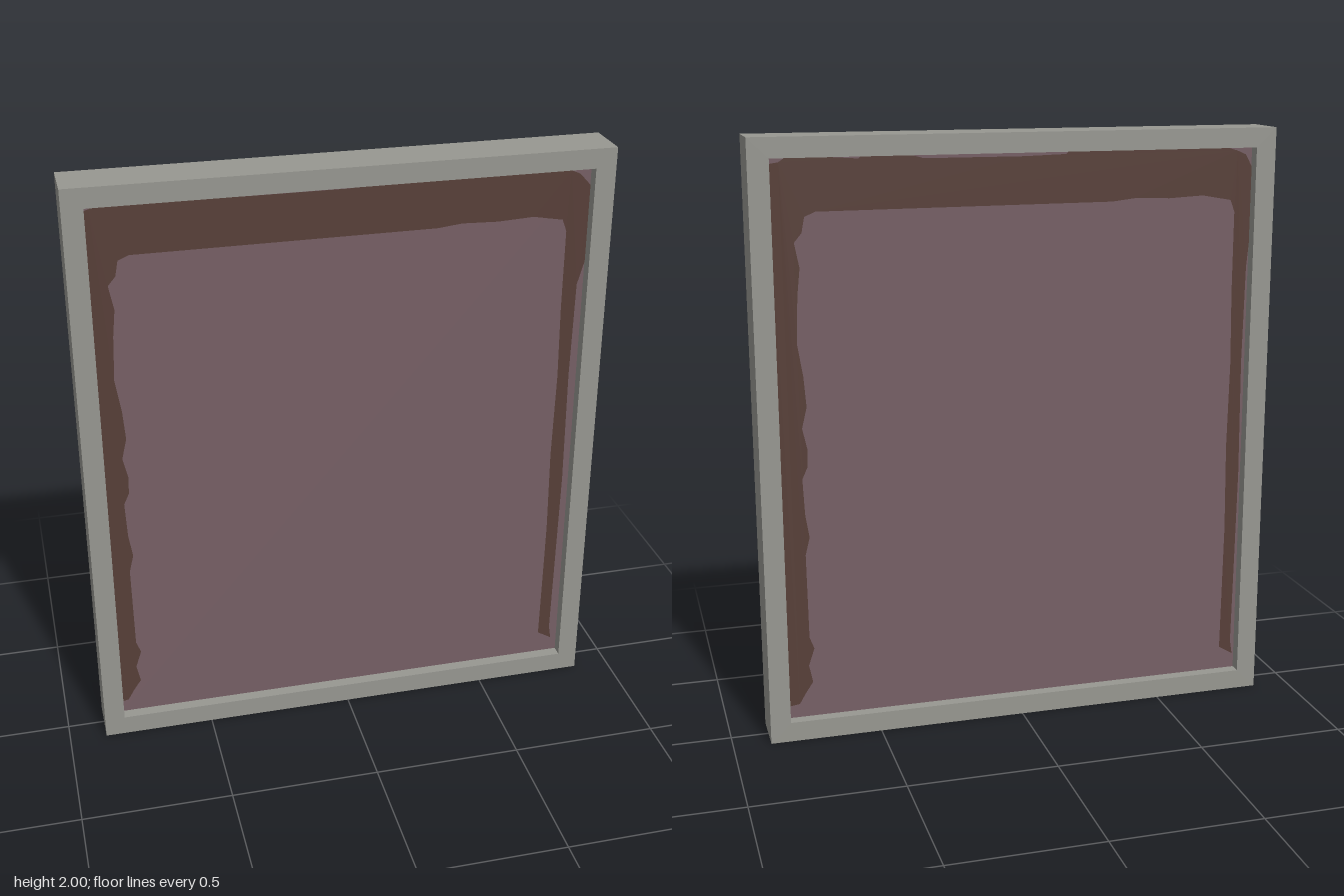
import * as THREE from 'three';

const W = 0.875, H = 2, D = 0.166;                   // frame half width, height, depth
const IN = { x: 0.807, y0: 0.067, y1: 1.935 };       // opening
const PANEL = 0.044;                                 // panel half thickness

const material = (name, color, side = THREE.FrontSide) => {
  const m = new THREE.MeshStandardMaterial({ color, side });
  m.name = name;
  return m;
};

function rectangle(Type, x, y0, y1) {
  return new Type([[-x, y0], [x, y0], [x, y1], [-x, y1]].map(p => new THREE.Vector2(...p)));
}

// Uneven border: outer edge from lower left to lower right, then the inner edge back
const BORDER = [
  [-0.81, 0.11], [-0.81, 1.915], [-0.79, 1.92], [-0.77, 1.933], [-0.64, 1.933], [-0.54, 1.926],
  [-0.53, 1.935], [-0.37, 1.933], [-0.33, 1.922], [0, 1.921], [0.14, 1.925], [0.15, 1.935],
  [0.7, 1.935], [0.74, 1.923], [0.77, 1.91], [0.807, 1.87], [0.807, 1.61], [0.785, 1.53],
  [0.78, 1.2], [0.785, 0.8], [0.78, 0.4], [0.777, 0.17], [0.785, 0.12], [0.735, 0.15],
  [0.74, 0.6], [0.735, 0.9], [0.74, 1.2], [0.735, 1.45], [0.735, 1.72], [0.72, 1.76],
  [0.68, 1.767], [0.62, 1.778], [0.5, 1.772], [0.38, 1.776], [0.3, 1.767], [-0.68, 1.765],
  [-0.715, 1.75], [-0.725, 1.7], [-0.75, 1.67], [-0.735, 1.59], [-0.745, 1.5], [-0.752, 1.35],
  [-0.735, 1.24], [-0.728, 1.14], [-0.745, 1.07], [-0.73, 1], [-0.732, 0.94], [-0.75, 0.9],
  [-0.745, 0.78], [-0.733, 0.7], [-0.748, 0.64], [-0.745, 0.35], [-0.73, 0.31], [-0.75, 0.25],
  [-0.738, 0.19], [-0.765, 0.15], [-0.785, 0.115],
];

function borderGeometry(shift) {
  const points = BORDER.map(([x, y]) => {
    const moved = Math.abs(x) > 0.8 ? x : x + shift;
    return new THREE.Vector2(THREE.MathUtils.clamp(moved, -IN.x, IN.x), y);
  });
  return new THREE.ShapeGeometry(new THREE.Shape(points));
}

export function createModel() {
  const group = new THREE.Group();
  group.name = 'framedPanel';
  const grey = material('frame grey', 0x979791);
  const mauve = material('panel mauve', 0x765f65);
  const brown = material('border brown', 0x573f38);

  const add = (name, geometry, mat) => {
    const mesh = new THREE.Mesh(geometry, mat);
    mesh.name = name;
    group.add(mesh);
    return mesh;
  };

  // Square-edged frame around the opening
  const outline = rectangle(THREE.Shape, W, 0, H);
  outline.holes.push(rectangle(THREE.Path, IN.x, IN.y0, IN.y1));
  const frame = new THREE.ExtrudeGeometry(outline, { depth: D, bevelEnabled: false });
  add('frame', frame.translate(0, 0, -D / 2), grey);

  // Panel recessed on both sides
  const panel = new THREE.BoxGeometry(IN.x * 2, IN.y1 - IN.y0, PANEL * 2);
  add('panel', panel.translate(0, (IN.y0 + IN.y1) / 2, 0), mauve);

  // Painted borders, the back one turned round and slightly offset
  add('frontBorder', borderGeometry(0).translate(0, 0, PANEL + 0.002), brown);
  const back = borderGeometry(0.015).translate(0, 0, PANEL + 0.002);
  add('backBorder', back.rotateY(Math.PI), brown);

  return group;
}
